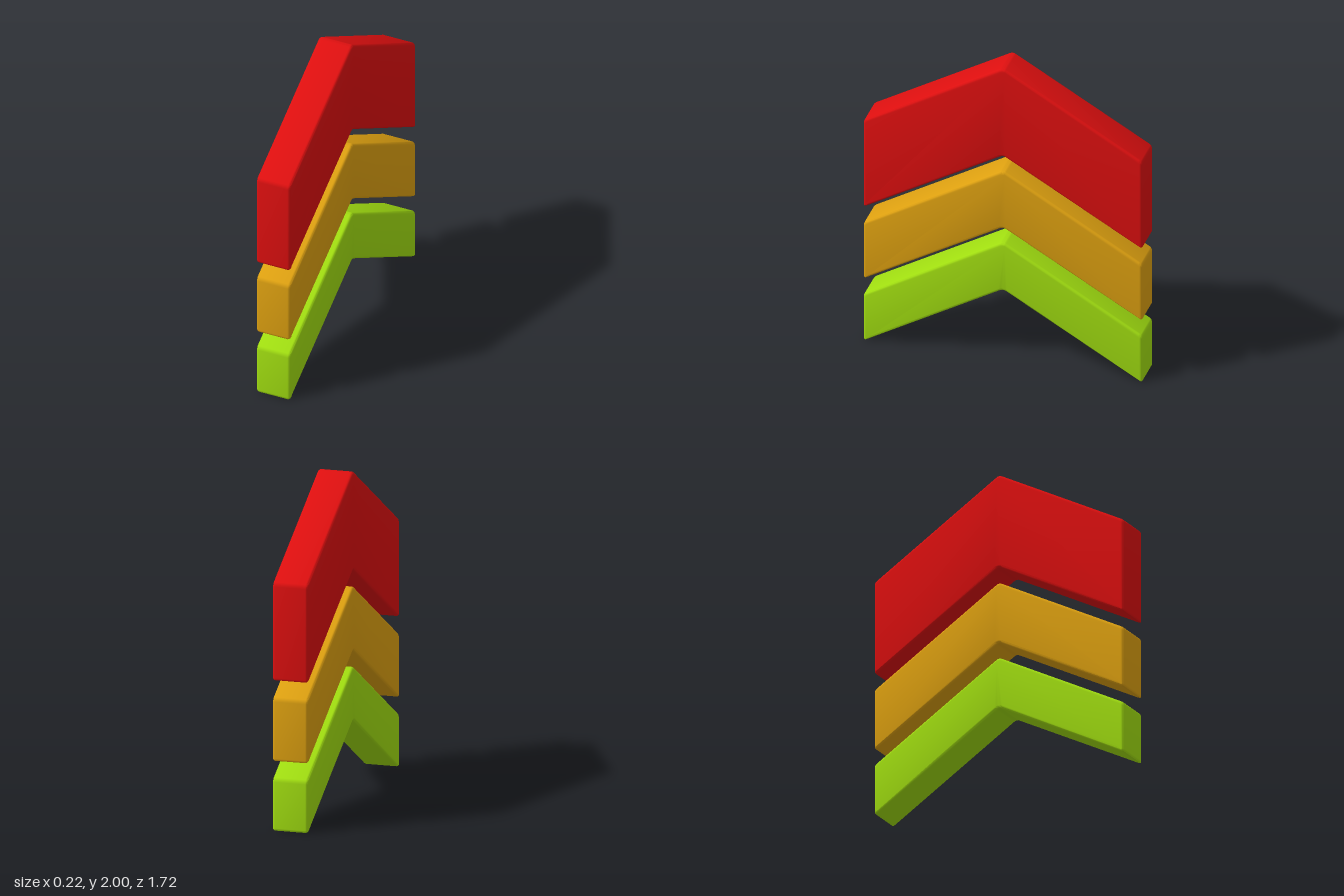
import * as THREE from 'three';
import { toCreasedNormals } from 'three/addons/utils/BufferGeometryUtils.js';

const HALF_SPAN = 0.86;   // along z
const HALF_WIDTH = 0.11;  // along x
const DROP = HALF_SPAN * Math.tan(Math.PI / 6);
const ROUND = 0.022;
const BEVEL = 0.016;

// Closed outline with every corner slightly rounded
function roundedShape(points, d) {
  const shape = new THREE.Shape();
  points.forEach((p, i) => {
    const prev = points[(i + points.length - 1) % points.length];
    const next = points[(i + 1) % points.length];
    const a = p.clone().add(prev.clone().sub(p).setLength(d));
    const b = p.clone().add(next.clone().sub(p).setLength(d));
    if (i === 0) shape.moveTo(a.x, a.y);
    else shape.lineTo(a.x, a.y);
    shape.quadraticCurveTo(p.x, p.y, b.x, b.y);
  });
  shape.closePath();
  return shape;
}

// Upward-pointing chevron, given the heights of its outer and inner peaks
function chevron(name, top, inner, color) {
  const outline = [
    [0, top], [-HALF_SPAN, top - DROP], [-HALF_SPAN, inner - DROP],
    [0, inner], [HALF_SPAN, inner - DROP], [HALF_SPAN, top - DROP],
  ].map(([z, y]) => new THREE.Vector2(z, y));
  const depth = 2 * (HALF_WIDTH - BEVEL);
  const geometry = new THREE.ExtrudeGeometry(roundedShape(outline, ROUND), {
    depth, curveSegments: 4, bevelEnabled: true, bevelThickness: BEVEL,
    bevelSize: BEVEL, bevelOffset: -BEVEL, bevelSegments: 3,
  });
  geometry.translate(0, 0, -depth / 2);
  geometry.rotateY(-Math.PI / 2);
  const mesh = new THREE.Mesh(
    toCreasedNormals(geometry, 0.6),
    new THREE.MeshStandardMaterial({ color })
  );
  mesh.name = name;
  return mesh;
}

export function createModel() {
  const group = new THREE.Group();
  group.name = 'stackedChevrons';
  group.add(
    chevron('topChevron', 2.005, 1.406, 0xdd0f0f),
    chevron('middleChevron', 1.304, 0.915, 0xdda010),
    chevron('bottomChevron', 0.815, 0.49, 0xa0dd10)
  );
  return group;
}
